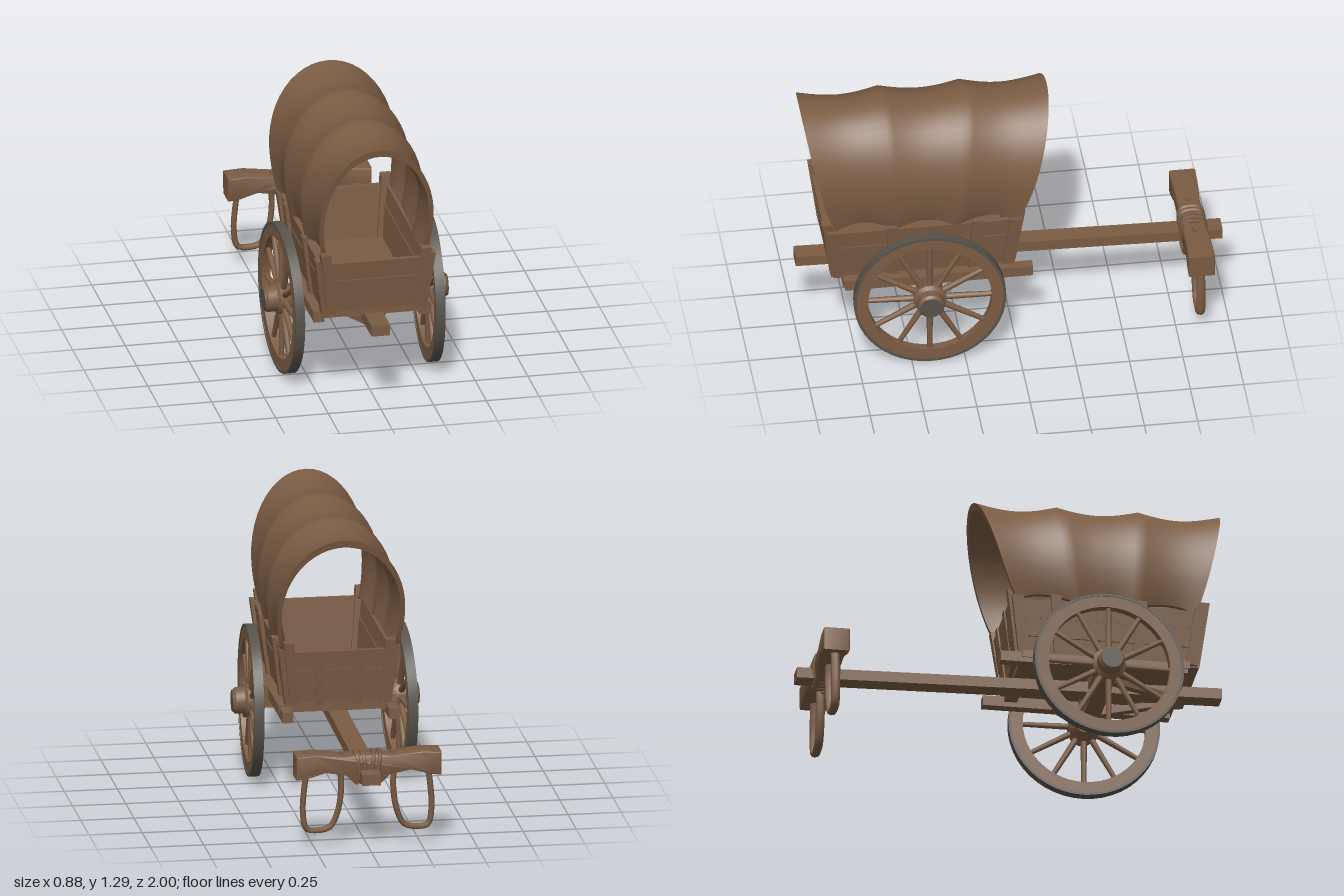
import * as THREE from 'three';
import { toCreasedNormals } from 'three/addons/utils/BufferGeometryUtils.js';

const wood = new THREE.MeshStandardMaterial({ color: 0x7b5c43 });
wood.name = 'brown wood';
const iron = new THREE.MeshStandardMaterial({ color: 0x57524b });
iron.name = 'grey iron';

function add(parent, name, geometry, material = wood) {
  const mesh = new THREE.Mesh(geometry, material);
  mesh.name = name;
  parent.add(mesh);
  return mesh;
}

function box(w, h, d, x, y, z) {
  return new THREE.BoxGeometry(w, h, d).translate(x, y, z);
}

// Move every vertex of a geometry by a rule
function warp(geometry, rule) {
  const p = geometry.attributes.position;
  const v = new THREE.Vector3();
  for (let i = 0; i < p.count; i++) {
    rule(v.fromBufferAttribute(p, i));
    p.setXYZ(i, v.x, v.y, v.z);
  }
  geometry.computeVertexNormals();
  return geometry;
}

// The wagon bed widens towards its top
const flare = (g) => warp(g, (v) => {
  const k = (v.y - 0.43) / 0.29;
  v.x *= 1 + 0.15 * k;
  v.z = 0.43 + (v.z - 0.43) * (1 + 0.09 * k);
});

function turned(points, segments = 40) {
  const g = new THREE.LatheGeometry(points.map(([r, y]) => new THREE.Vector2(r, y)), segments);
  return toCreasedNormals(g.rotateZ(-Math.PI / 2), 0.6);
}

const ring = (r0, r1, w) => turned([[r0, -w], [r1, -w], [r1, w], [r0, w], [r0, -w]], 48);

// A straight bar between two points
function bar(a, b, w, h) {
  const from = new THREE.Vector3(...a), to = new THREE.Vector3(...b);
  const g = new THREE.BoxGeometry(w, h, from.distanceTo(to));
  const m = new THREE.Matrix4().lookAt(to, from, new THREE.Vector3(0, 1, 0));
  return g.applyMatrix4(m).translate(...from.add(to).multiplyScalar(0.5).toArray());
}

// Canvas cover: arched cross-sections, sagging between four hoops
function coverPoint(u, t, inset) {
  const sag = Math.abs(Math.sin(u * Math.PI * 3));
  const drop = 0.03 * sag + inset;
  const half = 0.27 + 0.03 * Math.min(1, u * 2) - 0.6 * drop;
  const spring = 0.9, top = 1.295 - 0.02 * u - drop;
  const hem = 0.7 + 0.035 * sag;
  let x, y;
  if (t < 0.2 || t > 0.8) {
    const k = (t < 0.2 ? t : 1 - t) / 0.2;
    y = hem + (spring - hem) * k;
    x = (half - 0.025 * (1 - k) ** 2) * (t < 0.5 ? 1 : -1);
  } else {
    const a = ((t - 0.2) / 0.6) * Math.PI;
    x = Math.cos(a) * half;
    y = spring + Math.sin(a) * (top - spring);
  }
  const lean = Math.pow(Math.max(0, (y - 0.7) / 0.59), 0.75);
  const front = 0.84 + 0.145 * lean, back = -0.185 * lean;
  return [x, y, front + (back - front) * u];
}

function coverGeometry() {
  const rows = 36, cols = 40, loop = 2 * (cols + 1);
  const pos = [], index = [];
  for (let i = 0; i <= rows; i++) {
    for (let j = 0; j < loop; j++) {
      const outer = j <= cols;
      pos.push(...coverPoint(i / rows, (outer ? j : loop - 1 - j) / cols, outer ? 0 : 0.035));
    }
  }
  const quad = (a, b, c, d) => index.push(a, b, c, a, c, d);
  for (let i = 0; i < rows; i++) {
    for (let j = 0; j < loop; j++) {
      const k = (j + 1) % loop, r = i * loop, s = r + loop;
      quad(r + j, s + j, s + k, r + k);
    }
  }
  // thick rims at both ends
  const e = rows * loop;
  for (let j = 0; j < cols; j++) {
    const a = j, b = j + 1, c = loop - 2 - j, d = loop - 1 - j;
    quad(a, b, c, d);
    quad(e + d, e + c, e + b, e + a);
  }
  const g = new THREE.BufferGeometry();
  g.setAttribute('position', new THREE.Float32BufferAttribute(pos, 3));
  g.setIndex(index);
  return toCreasedNormals(g, 0.7);
}

function createWheel() {
  const wheel = new THREE.Group();
  add(wheel, 'tyre', ring(0.343, 0.355, 0.023), iron);
  add(wheel, 'felloe', ring(0.288, 0.345, 0.02));
  add(wheel, 'hub', turned([[0, -0.06], [0.05, -0.06], [0.075, -0.025], [0.078, 0.02],
    [0.062, 0.032], [0.062, 0.075], [0.052, 0.086], [0, 0.086]], 24));
  add(wheel, 'hubCap', turned([[0.053, 0.083], [0.05, 0.09], [0, 0.09]], 24), iron);
  for (let i = 0; i < 12; i++) {
    const spoke = new THREE.CylinderGeometry(0.012, 0.016, 0.25, 8).translate(0, 0.175, 0);
    add(wheel, 'spoke', spoke.rotateX((i * Math.PI) / 6));
  }
  return wheel;
}

export function createModel() {
  const wagon = new THREE.Group();
  wagon.name = 'coveredWagon';
  add(wagon, 'canvasCover', coverGeometry());

  // Bed: floor, planked walls, corner posts and battens
  const bed = new THREE.Group();
  bed.name = 'bed';
  wagon.add(bed);
  add(bed, 'floor', box(0.46, 0.025, 0.86, 0, 0.442, 0.43));
  for (let i = 0; i < 3; i++) {
    const y = 0.478 + i * 0.09, t = 0.024 + (i % 2) * 0.006;
    for (const s of [-1, 1]) {
      add(bed, 'sidePlank', flare(box(t, 0.088, 0.84, s * 0.222, y, 0.43)));
      add(bed, 'endPlank', flare(box(0.43, 0.088, t, 0, y, 0.43 + s * 0.415)));
    }
  }
  for (const s of [-1, 1]) {
    for (const e of [-1, 1]) {
      add(bed, 'cornerPost', flare(box(0.04, 0.31, 0.045, s * 0.205, 0.595, 0.43 + e * 0.41)));
      add(bed, 'cornerBatten', flare(box(0.02, 0.28, 0.05, s * 0.238, 0.575, 0.43 + e * 0.395)));
    }
    for (const z of [0.2, 0.57]) {
      add(bed, 'sideBatten', flare(box(0.02, 0.29, 0.045, s * 0.24, 0.58, z)));
    }
    add(bed, 'backBatten', flare(box(0.04, 0.27, 0.018, s * 0.085, 0.57, 0.005)));
  }

  // Undercarriage
  const frame = new THREE.Group();
  frame.name = 'undercarriage';
  wagon.add(frame);
  add(frame, 'tongue', warp(box(0.088, 0.052, 2, 0, 0.372, 0), (v) => { v.y += v.z * 0.0225; }));
  add(frame, 'bolster', box(0.58, 0.06, 0.1, 0, 0.4, 0.42));
  add(frame, 'axleBeam', box(0.58, 0.06, 0.08, 0, 0.355, 0.42));
  for (const z of [0.05, 0.78]) add(frame, 'crossBar', box(0.56, 0.035, 0.06, 0, 0.418, z));
  for (const s of [-1, 1]) {
    add(frame, 'sideRail', box(0.05, 0.05, 0.88, s * 0.25, 0.402, 0.36));
    add(frame, 'brace', bar([s * 0.2, 0.352, 0.42], [s * 0.02, 0.36, 0.78], 0.035, 0.03));
    // wheels toe in slightly towards the front
    const wheel = createWheel();
    wheel.name = s > 0 ? 'leftWheel' : 'rightWheel';
    wheel.position.set(s * 0.347, 0.355, 0.415);
    wheel.rotation.y = s > 0 ? -0.04 : Math.PI + 0.04;
    wagon.add(wheel);
  }

  // Yoke with neck bows, pins and lashing
  const yoke = new THREE.Group();
  yoke.name = 'yoke';
  yoke.position.z = -0.862;
  wagon.add(yoke);
  const right = [[0.06, 0.315], [0.1, 0.355], [0.2, 0.375], [0.29, 0.35], [0.335, 0.345],
    [0.335, 0.445], [0.25, 0.45], [0.12, 0.435], [0.04, 0.44]];
  const left = right.map(([x, y]) => [-x, y]).reverse();
  const outline = new THREE.Shape([...right, ...left].map(([x, y]) => new THREE.Vector2(x, y)));
  const beam = new THREE.ExtrudeGeometry(outline, {
    depth: 0.104, bevelThickness: 0.008, bevelSize: 0.006, bevelSegments: 2,
  }).translate(0, 0, -0.052);
  warp(beam, (v) => { v.z *= 0.78 + 0.25 * Math.min(1, Math.abs(v.x) / 0.3); });
  add(yoke, 'yokeBeam', toCreasedNormals(beam, 0.6));
  for (const s of [-1, 1]) {
    const bow = [[0.13, 0.39], [0.122, 0.29], [0.138, 0.17], [0.175, 0.095], [0.235, 0.08],
      [0.285, 0.09], [0.302, 0.17], [0.295, 0.29], [0.28, 0.39]];
    const path = new THREE.CatmullRomCurve3(bow.map(([x, y]) => new THREE.Vector3(s * x, y, 0)));
    const loop = new THREE.TubeGeometry(path, 40, 0.014, 8);
    add(yoke, 'neckBow', loop.scale(1, 1, 1.5));
    for (const x of [0.12, 0.28]) add(yoke, 'bowPin', box(0.024, 0.03, 0.024, s * x, 0.44, 0));
    add(yoke, 'lashingPeg', new THREE.CylinderGeometry(0.012, 0.01, 0.05, 8).translate(s * 0.05, 0.32, 0));
    for (const x of [0.015, 0.045]) {
      const pts = [];
      for (let i = 0; i < 12; i++) {
        const a = (i / 12) * Math.PI * 2, c = Math.cos(a), n = Math.sin(a);
        pts.push(new THREE.Vector3(s * (x + 0.012 * n), 0.38 + 0.07 * Math.sign(n) * Math.abs(n) ** 0.6,
          0.056 * Math.sign(c) * Math.abs(c) ** 0.6));
      }
      add(yoke, 'lashing', new THREE.TubeGeometry(new THREE.CatmullRomCurve3(pts, true), 36, 0.011, 6, true));
    }
  }
  return wagon;
}
